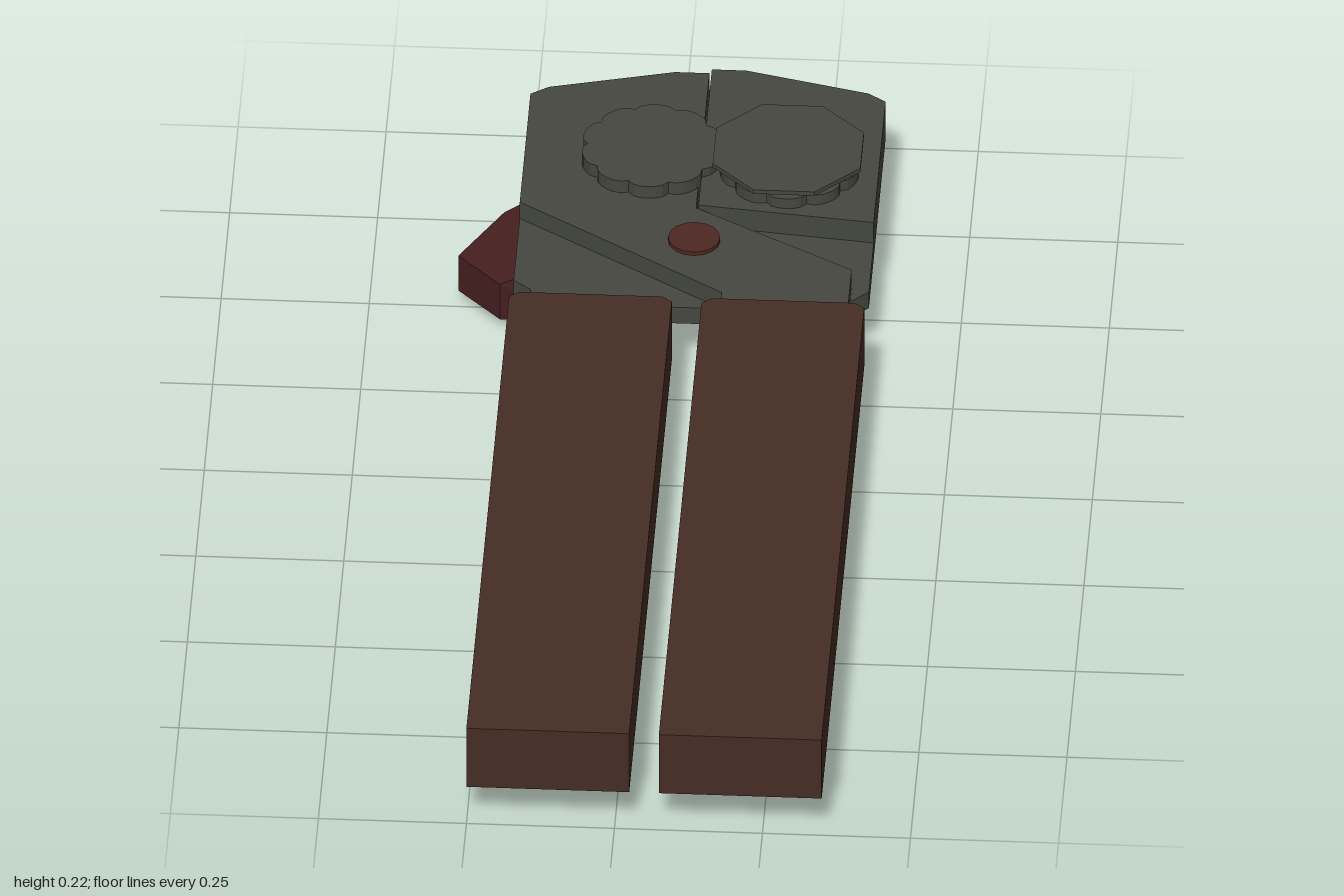
import * as THREE from 'three';
import { ConvexGeometry } from 'three/addons/geometries/ConvexGeometry.js';

function material(name, color) {
  const m = new THREE.MeshStandardMaterial({ color });
  m.name = name;
  return m;
}

// Flat slab: outline of [x, z] corners raised between two heights
function slab(points, y0, y1) {
  const shape = new THREE.Shape(points.map(([x, z]) => new THREE.Vector2(x, -z)));
  const geo = new THREE.ExtrudeGeometry(shape, { depth: y1 - y0, bevelEnabled: false });
  geo.rotateX(-Math.PI / 2);
  geo.translate(0, y0, 0);
  return geo;
}

// Scalloped wheel outline
function gearOutline(cx, cz, radius, lobes) {
  const points = [];
  const steps = lobes * 6;
  for (let i = 0; i < steps; i++) {
    const a = (i / steps) * Math.PI * 2;
    const r = radius * (0.91 + 0.09 * Math.sqrt(Math.abs(Math.sin((a * lobes) / 2))));
    points.push([cx + r * Math.cos(a), cz + r * Math.sin(a)]);
  }
  return points;
}

export function createModel() {
  const group = new THREE.Group();
  const wood = material('brown handle', 0x452d24);
  const steel = material('dark grey steel', 0x454740);
  const maroon = material('maroon opener', 0x471f20);
  const copper = material('copper rivet', 0x4e2822);

  const add = (name, geo, mat) => {
    const mesh = new THREE.Mesh(geo, mat);
    mesh.name = name;
    group.add(mesh);
    return mesh;
  };
  const disc = (name, r, y0, y1, x, z, sides, mat) => {
    const geo = new THREE.CylinderGeometry(r, r, y1 - y0, sides).toNonIndexed();
    geo.computeVertexNormals();
    add(name, geo, mat).position.set(x, (y0 + y1) / 2, z);
  };

  // Handles, with trimmed corners where they meet the head
  for (const [name, x] of [['rightHandle', -0.25], ['leftHandle', 0.075]]) {
    add(name, slab([
      [x, 1], [x + 0.275, 1], [x + 0.275, -0.258], [x + 0.258, -0.272],
      [x + 0.017, -0.272], [x, -0.258],
    ], 0.076, 0.197), wood);
  }

  // Lower plate, running into the right handle
  add('lowerPlate', slab([
    [-0.25, -0.89], [-0.22, -0.912], [-0.01, -0.967], [0.11, -0.967], [0.32, -0.912],
    [0.35, -0.89], [0.35, -0.395], [0.32, -0.365], [0.105, -0.332], [-0.005, -0.332],
    [-0.005, -0.25], [-0.22, -0.25], [-0.22, -0.37], [-0.25, -0.395],
  ], 0.1, 0.133), steel);

  // Upper jaw crossing over to the left handle
  add('crossingJaw', slab([
    [-0.25, -0.89], [-0.22, -0.912], [-0.01, -0.967], [0.048, -0.967], [0.048, -0.575],
    [0.32, -0.41], [0.32, -0.25], [0.105, -0.25], [0.105, -0.332], [-0.25, -0.575],
  ], 0.133, 0.167), steel);

  // Thicker fixed jaw beside it
  add('fixedJaw', slab([
    [0.052, -0.967], [0.11, -0.967], [0.32, -0.912], [0.35, -0.89],
    [0.35, -0.538], [0.052, -0.572],
  ], 0.133, 0.175), steel);

  // Scalloped feed wheels and the cutting disc on its axle
  add('feedWheel', slab(gearOutline(-0.035, -0.718, 0.12, 10), 0.165, 0.191), steel);
  add('driveWheel', slab(gearOutline(0.2, -0.69, 0.12, 10), 0.172, 0.195), steel);
  disc('axle', 0.018, 0.19, 0.21, 0.195, -0.69, 12, copper);
  const cutter = [];
  for (let i = 0; i < 8; i++) {
    const a = ((i + 0.5) * Math.PI) / 4;
    cutter.push([0.197 + 0.135 * Math.cos(a), -0.69 + 0.135 * Math.sin(a)]);
  }
  add('cuttingDisc', slab(cutter, 0.207, 0.215), steel);

  // Pivot rivet through both plates
  disc('pivotRivet', 0.044, 0.092, 0.174, 0.05, -0.48, 16, copper);

  // Turning key under the head: tapered block with bevelled ends
  const rim = [
    [-0.35, -0.51], [-0.275, -0.43], [0.18, -0.77], [0.25, -0.91],
    [0.17, -1.0], [0.03, -0.94], [-0.28, -0.64],
  ];
  const base = [
    [-0.28, -0.58], [-0.145, -0.48], [0.18, -0.77], [0.18, -0.88],
    [0.12, -0.94], [0.03, -0.93], [-0.23, -0.65],
  ];
  const corners = [];
  for (const [x, z] of rim) {
    corners.push(new THREE.Vector3(x, 0.098, z), new THREE.Vector3(x, 0.026, z));
  }
  for (const [x, z] of base) corners.push(new THREE.Vector3(x, 0, z));
  add('turningKey', new ConvexGeometry(corners), maroon);

  return group;
}
